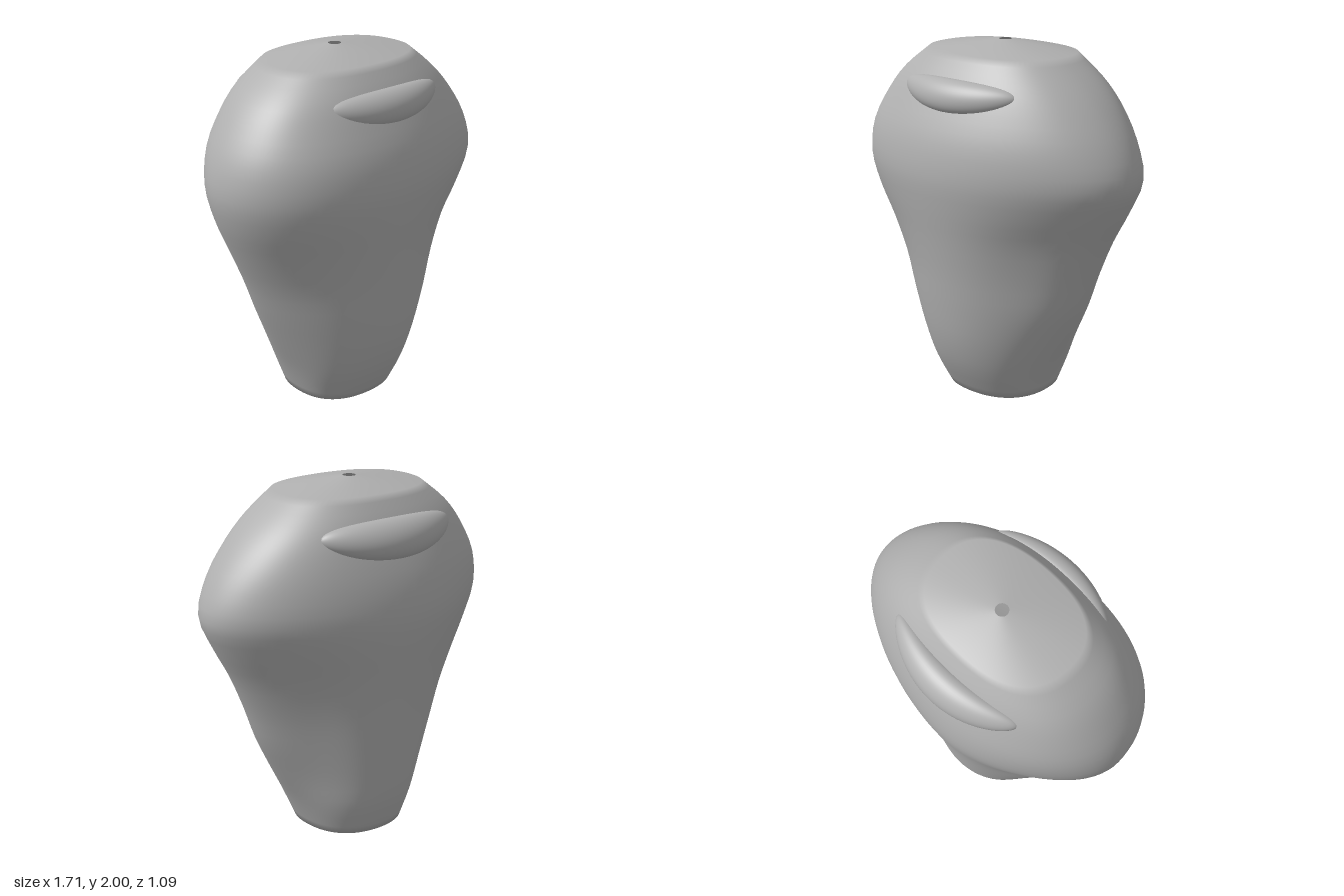
import * as THREE from 'three';

// Body sections: [y, left edge x, right edge x, front z, back z, x of widest depth,
// then the dent of each diagonal: +x+z, -x+z, -x-z, +x-z]
const SECTIONS = [
  [0.05, -0.33, 0.26, 0.26, -0.315, -0.035, -0.04, -0.06, -0.04, -0.05],
  [0.22, -0.4, 0.335, 0.35, -0.375, -0.035, -0.01, -0.05, -0.01, -0.02],
  [0.4, -0.485, 0.43, 0.41, -0.405, -0.04, 0.03, -0.01, 0.03, 0.05],
  [0.6, -0.575, 0.53, 0.445, -0.43, -0.05, 0.06, 0.02, 0.06, 0.09],
  [0.8, -0.655, 0.605, 0.47, -0.457, -0.06, 0.08, 0.04, 0.08, 0.1],
  [1.0, -0.745, 0.69, 0.5, -0.49, -0.07, 0.08, 0.03, 0.08, 0.09],
  [1.18, -0.82, 0.785, 0.53, -0.525, -0.08, 0.05, 0.0, 0.07, 0.06],
  [1.35, -0.855, 0.85, 0.547, -0.542, -0.09, 0.03, -0.02, 0.04, 0.03],
  [1.53, -0.82, 0.79, 0.52, -0.515, -0.08, 0.01, -0.04, 0.0, 0.0],
  [1.7, -0.725, 0.67, 0.45, -0.455, -0.06, -0.01, -0.05, -0.03, -0.04],
  [1.83, -0.615, 0.54, 0.38, -0.395, -0.05, -0.03, -0.06, -0.05, -0.06],
  [1.95, -0.46, 0.385, 0.29, -0.315, -0.04, -0.05, -0.06, -0.06, -0.07],
];
const AROUND = 96;
const UP = 33;

// One closed loop of points, a different quarter ellipse on each side
function ring([y, xl, xr, zf, zb, cx, ...dents]) {
  const points = [];
  for (let i = 0; i < AROUND; i++) {
    const a = (i / AROUND) * Math.PI * 2;
    const c = Math.cos(a), s = Math.sin(a);
    const dent = dents[Math.floor((4 * i) / AROUND)];
    const k = 1 - dent * Math.sin(2 * a) ** 2;
    points.push(cx + k * c * (c > 0 ? xr - cx : cx - xl), y, k * s * (s > 0 ? zf : -zb));
  }
  return points;
}

// Small round opening at the middle of an end cap
const opening = (y, x, z, r) => ring([y, x - r, x + r, r, -r, x, 0, 0, 0, 0])
  .map((v, i) => (i % 3 === 2 ? v + z : v));

function bodyGeometry() {
  // Smooth every section value along the height
  const splines = SECTIONS[0].slice(1).map((_, col) =>
    new THREE.SplineCurve(SECTIONS.map((row) => new THREE.Vector2(row[0], row[col + 1]))));
  const loops = [opening(0, -0.035, -0.025, 0.025)];
  for (let j = 0; j <= UP; j++) {
    const values = splines.map((curve) => curve.getPoint(j / UP));
    loops.push(ring([values[0].x, ...values.map((p) => p.y)]));
  }
  loops.push(opening(2, -0.037, -0.028, 0.035));

  const index = [];
  for (let j = 0; j < loops.length - 1; j++) {
    for (let i = 0; i < AROUND; i++) {
      const a = j * AROUND + i, b = j * AROUND + ((i + 1) % AROUND);
      const c = a + AROUND, d = b + AROUND;
      index.push(a, c, b, b, c, d);
    }
  }
  const geometry = new THREE.BufferGeometry();
  geometry.setAttribute('position', new THREE.Float32BufferAttribute(loops.flat(), 3));
  geometry.setIndex(index);
  geometry.computeVertexNormals();
  return geometry;
}

// Crescent ridge: an ellipsoid leaning back with the body, its tips bent back and slightly up
function ridgeGeometry(halfLength, height, depth, bend, lean) {
  const geometry = new THREE.SphereGeometry(1, 48, 32);
  geometry.rotateZ(Math.PI / 2);
  geometry.scale(halfLength, height, depth);
  geometry.rotateX(-lean);
  const p = geometry.attributes.position;
  for (let i = 0; i < p.count; i++) {
    const t = p.getX(i) / halfLength;
    p.setY(i, p.getY(i) + 0.02 * t * t);
    p.setZ(i, p.getZ(i) - bend * t * t);
  }
  geometry.computeVertexNormals();
  return geometry;
}

export function createModel() {
  const model = new THREE.Group();
  const grey = new THREE.MeshStandardMaterial({ color: 0xb0b0b0, side: THREE.DoubleSide });
  grey.name = 'plain grey';

  const add = (name, geometry) => {
    const mesh = new THREE.Mesh(geometry, grey);
    mesh.name = name;
    model.add(mesh);
    return mesh;
  };

  add('body', bodyGeometry());

  const frontRidge = add('frontRidge', ridgeGeometry(0.385, 0.092, 0.075, 0.08, 0.5));
  frontRidge.position.set(-0.035, 1.755, 0.403);

  const backRidge = add('backRidge', ridgeGeometry(0.415, 0.108, 0.082, 0.1, 0.5));
  backRidge.position.set(-0.035, 1.748, -0.442);
  backRidge.rotation.y = Math.PI;

  return model;
}
